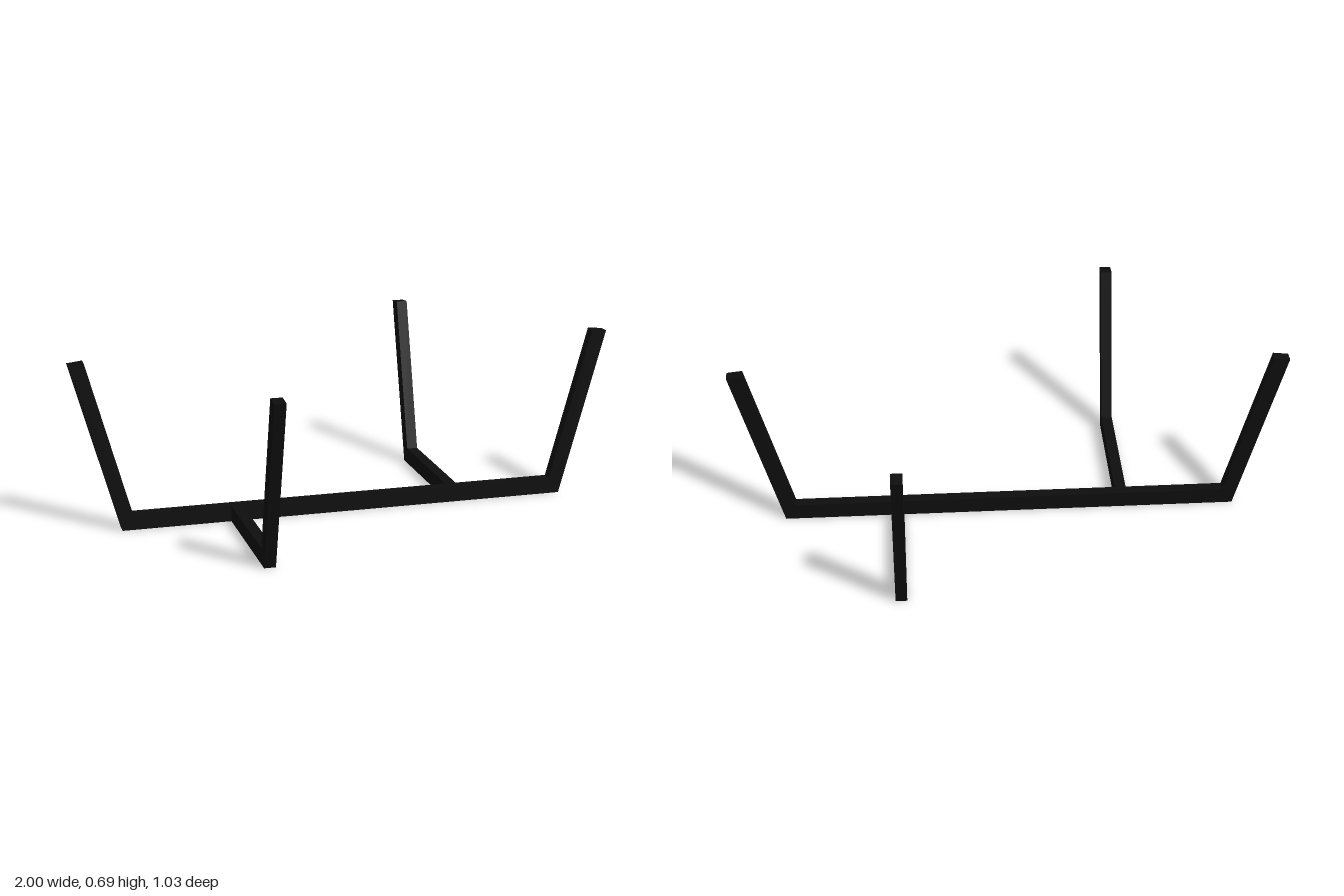
import * as THREE from 'three';

const WIDTH = 0.045;   // thickness of the flat bar
const HEIGHT = 0.065;  // depth of the bar's profile
const SPREAD = 0.189;  // how far each arm leans outward

export function createModel() {
  const group = new THREE.Group();
  const material = new THREE.MeshStandardMaterial({ color: 0x0d0d0d });

  // Outline of a leaning arm whose foot ends at x = foot, from inside to outside
  const armOutline = foot => [
    [foot - 0.043, HEIGHT],
    [foot + SPREAD - 0.061, 0.687],
    [foot + SPREAD, 0.68],
    [foot, 0],
  ];

  // Flat bar cut from a side outline, centred on its own thickness
  const flatBar = (name, points) => {
    const shape = new THREE.Shape(points.map(([x, y]) => new THREE.Vector2(x, y)));
    const geometry = new THREE.ExtrudeGeometry(shape, { depth: WIDTH, bevelEnabled: false });
    geometry.translate(0, 0, -WIDTH / 2);
    const mesh = new THREE.Mesh(geometry, material);
    mesh.name = name;
    return mesh;
  };

  // Long base bar with an upright arm at both ends
  const half = armOutline(0.915);
  const mirrored = half.map(([x, y]) => [-x, y]).reverse();
  const frame = new THREE.Group();
  frame.name = 'standFrame';
  frame.add(flatBar('mainBar', [...half, ...mirrored]));

  // Two side legs branching off at right angles, on opposite sides
  for (const side of [-1, 1]) {
    const leg = flatBar(side < 0 ? 'rightSideLeg' : 'leftSideLeg',
      [[WIDTH / 2 - 0.005, 0], [WIDTH / 2 - 0.005, HEIGHT], ...armOutline(0.586)]);
    leg.position.x = side * 0.456;
    leg.rotation.y = side * Math.PI / 2;
    frame.add(leg);
  }

  // The whole frame sits diagonally
  frame.rotation.y = -THREE.MathUtils.degToRad(26.5);
  group.add(frame);
  return group;
}
